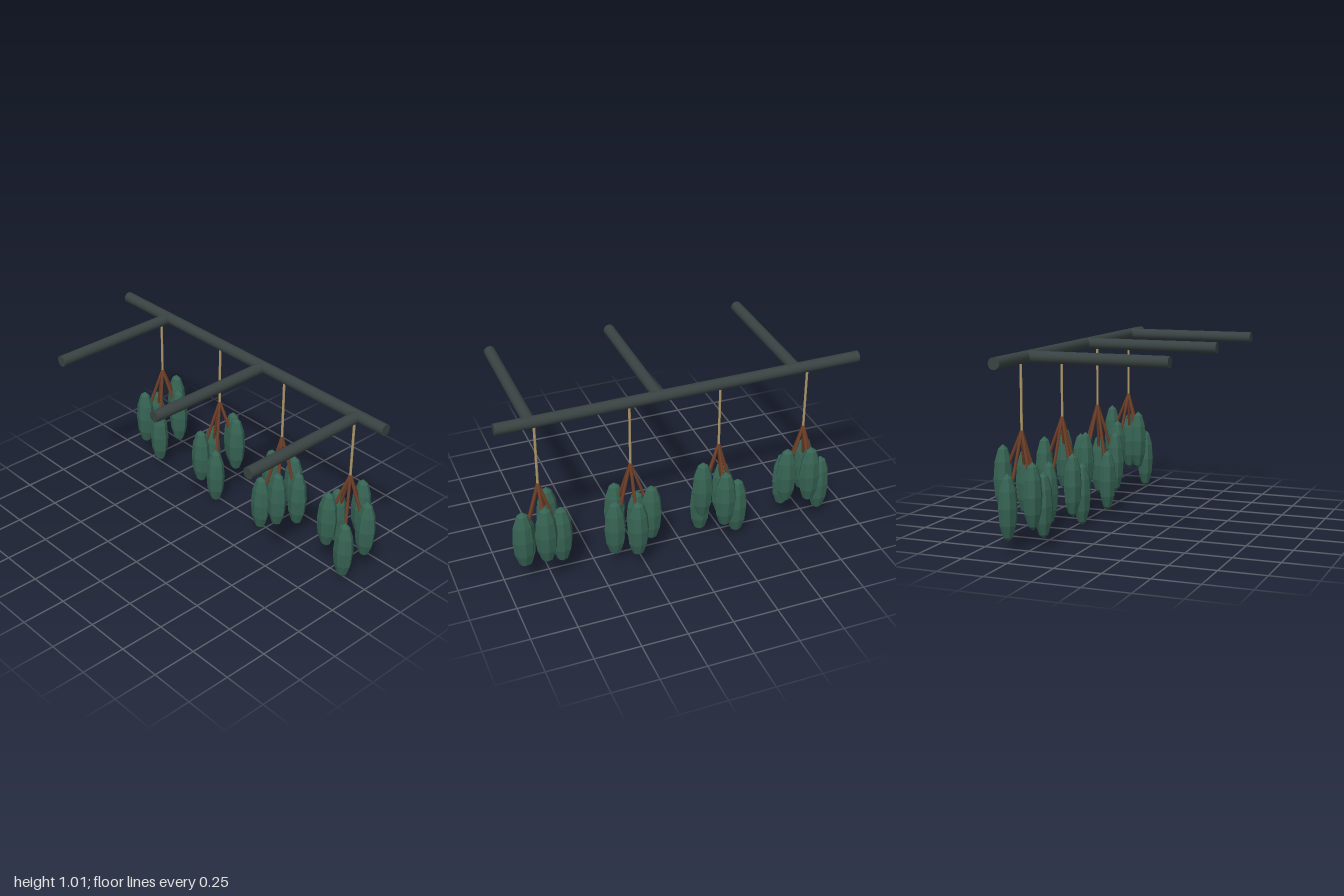
import * as THREE from 'three';

const pipeMat = new THREE.MeshStandardMaterial({ color: 0x394242 });
pipeMat.name = 'dark grey pipe';
const cordMat = new THREE.MeshStandardMaterial({ color: 0xae986a });
cordMat.name = 'tan cord';
const stemMat = new THREE.MeshStandardMaterial({ color: 0x6f3f28 });
stemMat.name = 'brown stem';
const podMat = new THREE.MeshStandardMaterial({ color: 0x366353, flatShading: true });
podMat.name = 'green pod';

const RAIL_X = 0.305, RAIL_Y = 0.985, PIPE_R = 0.031, KNOT_Y = 0.615;

// Cylinder running between two points
function rod(name, a, b, radius, sides, material) {
  const dir = b.clone().sub(a);
  const mesh = new THREE.Mesh(new THREE.CylinderGeometry(radius, radius, dir.length(), sides), material);
  mesh.name = name;
  mesh.position.copy(a).add(b).multiplyScalar(0.5);
  mesh.quaternion.setFromUnitVectors(new THREE.Vector3(0, 1, 0), dir.normalize());
  return mesh;
}

export function createModel() {
  const model = new THREE.Group();
  model.name = 'hangingRack';
  const v = (x, y, z) => new THREE.Vector3(x, y, z);

  // Long rail and its three side arms
  model.add(rod('rail', v(RAIL_X, RAIL_Y, -1), v(RAIL_X, RAIL_Y, 1), PIPE_R, 16, pipeMat));
  for (const z of [-0.635, 0.137, 0.817]) {
    model.add(rod('arm', v(-0.462, RAIL_Y, z), v(RAIL_X, RAIL_Y, z), PIPE_R, 16, pipeMat));
  }

  // Faceted pod shared by every bunch
  const podGeometry = new THREE.SphereGeometry(1, 8, 6);
  podGeometry.scale(0.048, 0.176, 0.06);

  // Pod centre heights, going round each bunch from +x towards +z
  const bunches = [
    { z: 0.797, heights: [0.363, 0.307, 0.208, 0.342, 0.287] },
    { z: 0.297, heights: [0.265, 0.245, 0.275, 0.186, 0.293] },
    { z: -0.203, heights: [0.326, 0.366, 0.181, 0.255, 0.209] },
    { z: -0.703, heights: [0.364, 0.332, 0.222, 0.295, 0.235] },
  ];
  for (const { z, heights } of bunches) {
    const bunch = new THREE.Group();
    bunch.name = 'bunch';
    bunch.position.set(RAIL_X, 0, z);
    bunch.add(rod('cord', v(0, KNOT_Y - 0.005, 0), v(0, RAIL_Y, 0), 0.007, 8, cordMat));
    heights.forEach((y, i) => {
      const angle = (i * Math.PI * 2) / 5;
      const centre = v(Math.cos(angle) * 0.108, y, Math.sin(angle) * 0.108);
      bunch.add(rod('stem', v(0, KNOT_Y, 0), centre, 0.009, 6, stemMat));
      const pod = new THREE.Mesh(podGeometry, podMat);
      pod.name = 'pod';
      pod.position.copy(centre);
      bunch.add(pod);
    });
    model.add(bunch);
  }
  return model;
}
